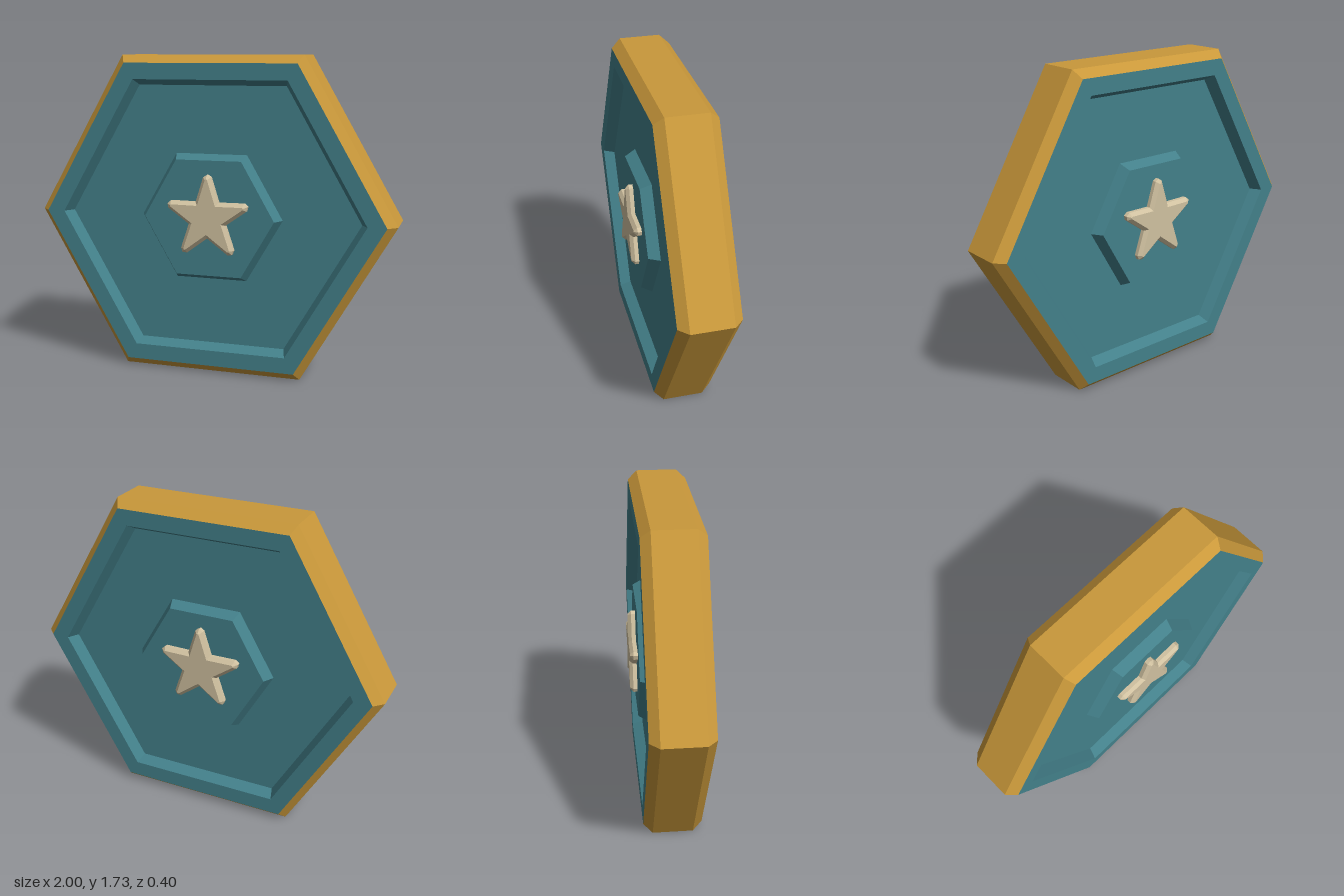
import * as THREE from 'three';

const CENTER_Y = Math.sqrt(3) / 2;

// Six-sided ring surface from [radius, z] pairs, with corners on the x axis and flat facets
function hexSurface(profile) {
  const points = profile.map(([r, z]) => new THREE.Vector2(r, z));
  const lathe = new THREE.LatheGeometry(points, 6, Math.PI / 2);
  lathe.rotateX(Math.PI / 2);
  const flat = lathe.toNonIndexed();
  flat.computeVertexNormals();
  return flat;
}

// Five-pointed star with slightly blunted tips
function starShape() {
  const pts = [];
  const polar = (r, a) => pts.push(new THREE.Vector2(r * Math.cos(a), r * Math.sin(a)));
  for (let i = 0; i < 5; i++) {
    const a = Math.PI / 2 + (i * Math.PI * 2) / 5;
    polar(0.223, a - 0.095);
    polar(0.235, a);
    polar(0.223, a + 0.095);
    polar(0.108, a + Math.PI / 5);
  }
  return new THREE.Shape(pts);
}

export function createModel() {
  const gold = new THREE.MeshStandardMaterial({ color: 0xc9983a });
  gold.name = 'gold';
  const teal = new THREE.MeshStandardMaterial({ color: 0x43808a });
  teal.name = 'teal';
  const cream = new THREE.MeshStandardMaterial({ color: 0xd0c1a0 });
  cream.name = 'cream';

  const model = new THREE.Group();
  model.name = 'hexagonToken';
  const add = (name, geometry, material) => {
    const mesh = new THREE.Mesh(geometry, material);
    mesh.name = name;
    mesh.position.y = CENTER_Y;
    model.add(mesh);
    return mesh;
  };

  // Outer rim with chamfered edges
  add('rim', hexSurface([[0.95, -0.16], [1, -0.11], [1, 0.11], [0.95, 0.16]]), gold);

  // Border, sunken channel and raised middle on both sides
  const face = hexSurface([
    [0.95, 0.16], [0.85, 0.16], [0.815, 0.1],
    [0.395, 0.1], [0.362, 0.16], [0, 0.16],
  ]);
  add('frontFace', face, teal);
  add('backFace', face, teal).rotation.y = Math.PI;

  // Bevelled star passing through to both sides
  const bevel = 0.018;
  const star = new THREE.ExtrudeGeometry(starShape(), {
    depth: 0.4 - 2 * bevel,
    bevelEnabled: true,
    bevelThickness: bevel,
    bevelSize: bevel,
    bevelOffset: -bevel,
    bevelSegments: 1,
  });
  star.translate(0, 0, -(0.2 - bevel));
  add('star', star, cream).position.y = CENTER_Y + 0.005;

  return model;
}
